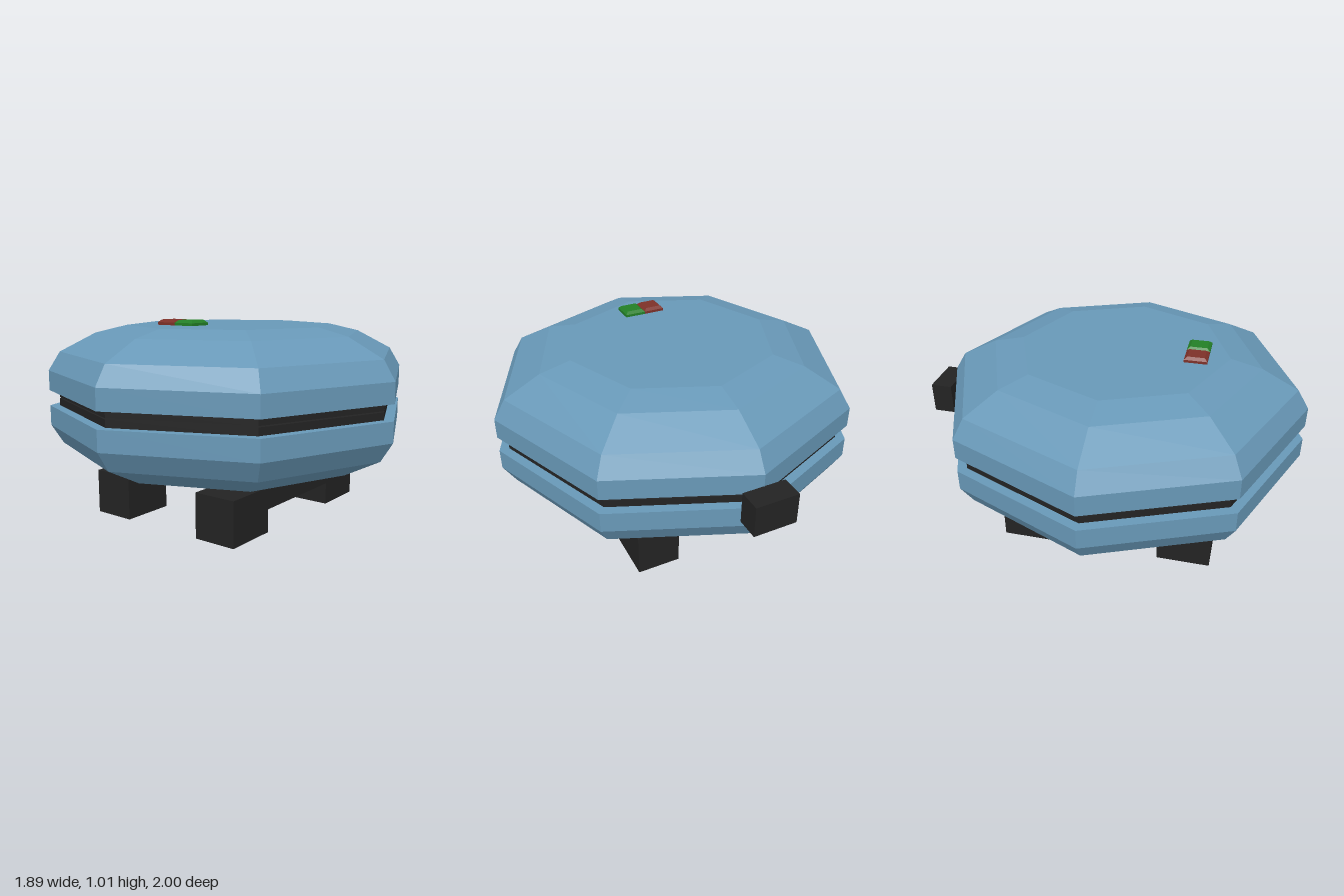
import * as THREE from 'three';

const mat = (name, color) => {
  const m = new THREE.MeshStandardMaterial({ color, flatShading: true });
  m.name = name;
  return m;
};

export function createModel() {
  const model = new THREE.Group();
  model.name = 'wafflePress';
  const blue = mat('shellBlue', 0x6898b7);
  const black = mat('darkPlastic', 0x232323);
  const red = mat('lampRed', 0x7d3028);
  const green = mat('lampGreen', 0x237f26);

  const MID = 0.6, CZ = 0.055;
  const add = (name, geo, material, x = 0, y = 0, z = 0) => {
    const mesh = new THREE.Mesh(geo, material);
    mesh.name = name;
    mesh.position.set(x, y, z);
    model.add(mesh);
    return mesh;
  };

  // Eight-sided half: profile measured as [radius, distance from the seam]
  const half = (profile, side) => {
    const pts = profile.map(([r, d]) => new THREE.Vector2(r, MID + side * d));
    if (side < 0) pts.reverse();
    return new THREE.LatheGeometry(pts, 8);
  };
  const shell = [[0, 0.04], [0.945, 0.04], [0.945, 0.143], [0.885, 0.24],
    [0.7, 0.336], [0.54, 0.374], [0, 0.374]];
  const plate = [[0, 0.003], [0.895, 0.003], [0.895, 0.042], [0, 0.042]];
  for (const [label, side] of [['upper', 1], ['lower', -1]]) {
    add(label + 'Shell', half(shell, side), blue, 0, 0, CZ);
    add(label + 'Plate', half(plate, side), black, 0, 0, CZ);
  }

  // Handle block at the back
  add('handle', new THREE.BoxGeometry(0.22, 0.16, 0.112), black, 0, MID, -0.944);

  // Bridge-shaped feet, extruded across x
  const outline = new THREE.Shape([
    [-0.61, 0], [-0.335, 0], [-0.335, 0.115], [0.22, 0.115],
    [0.22, 0], [0.5, 0], [0.5, 0.225], [-0.61, 0.225],
  ].map(([a, b]) => new THREE.Vector2(a, b)));
  const footGeo = new THREE.ExtrudeGeometry(outline, { depth: 0.223, bevelEnabled: false });
  footGeo.translate(0, 0, -0.1115).rotateY(Math.PI / 2);
  for (const [name, s] of [['leftFoot', 1], ['rightFoot', -1]]) add(name, footGeo, black, s * 0.333);

  // Indicator lamps with chamfered tops
  const lampGeo = new THREE.BoxGeometry(0.11, 0.026, 0.115, 1, 2, 1);
  const p = lampGeo.attributes.position;
  for (let i = 0; i < p.count; i++) {
    if (p.getY(i) > 0.01) {
      p.setX(i, p.getX(i) * 0.74);
      p.setZ(i, p.getZ(i) * 0.74);
    }
  }
  lampGeo.computeVertexNormals();
  add('redLamp', lampGeo, red, -0.055, 0.998, 0.432);
  add('greenLamp', lampGeo, green, 0.055, 0.998, 0.432);

  return model;
}
